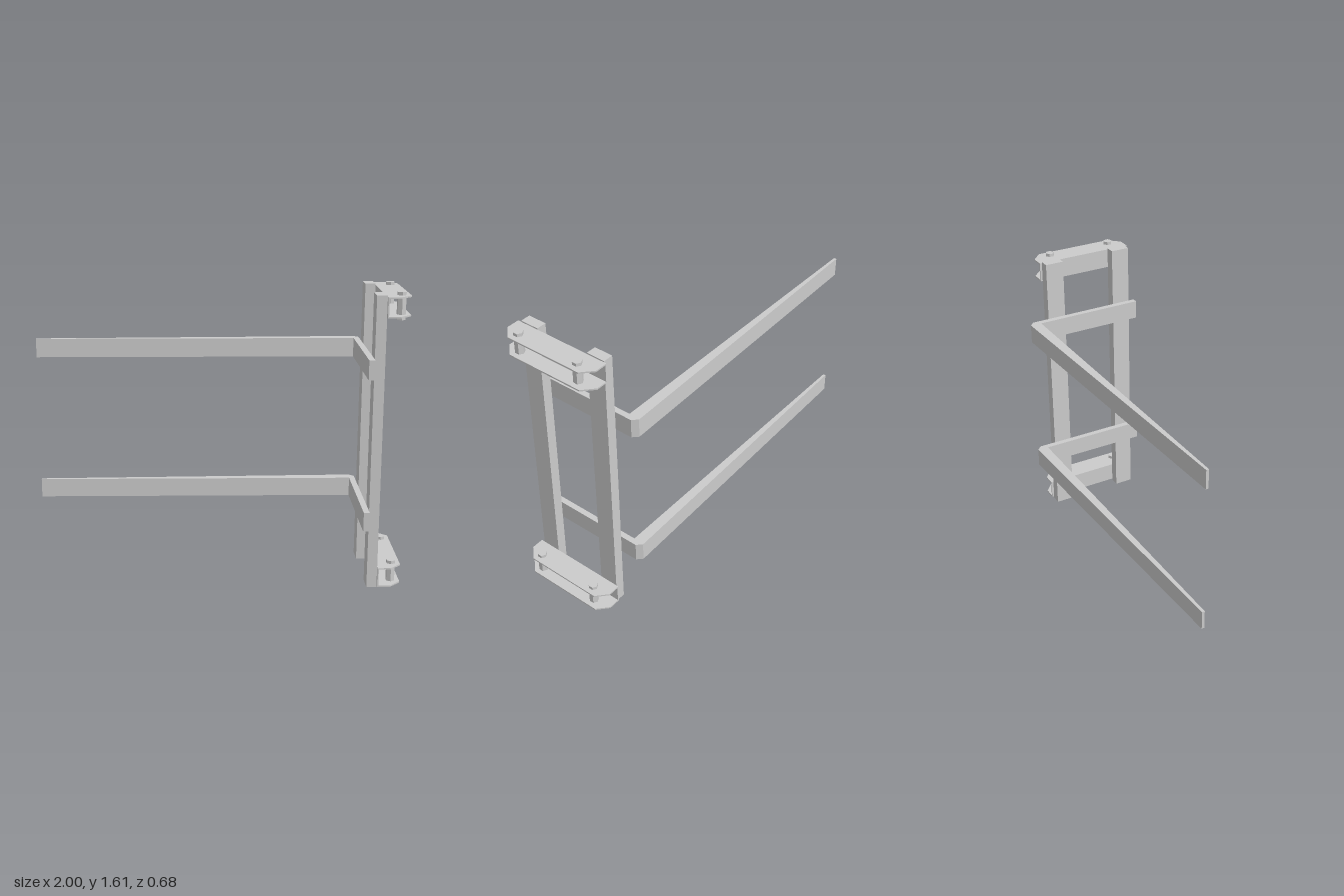
import * as THREE from 'three';

const material = new THREE.MeshStandardMaterial({ color: 0xcccccc, flatShading: true });

function addMesh(parent, name, geometry, x = 0, y = 0, z = 0) {
  const mesh = new THREE.Mesh(geometry, material);
  mesh.name = name;
  mesh.position.set(x, y, z);
  parent.add(mesh);
  return mesh;
}

// Plate with an outline in (x, z), extruded upward from y = 0
function plate(points, height) {
  const shape = new THREE.Shape(points.map(([x, z]) => new THREE.Vector2(x, -z)));
  const geometry = new THREE.ExtrudeGeometry(shape, { depth: height, bevelEnabled: false });
  return geometry.rotateX(-Math.PI / 2);
}

export function createModel() {
  const model = new THREE.Group();
  model.name = 'forkFrame';

  // Upright posts
  for (const [name, z] of [['frontPost', 0.252], ['backPost', -0.165]]) {
    addMesh(model, name, new THREE.BoxGeometry(0.055, 1.59, 0.105), 0.843, 0.805, z);
  }

  // L-shaped arms: short leg across the posts, long leg tapering to the tip
  const armOutline = [
    [-1, -0.28], [0.783, -0.28], [0.783, 0.337], [0.815, 0.337],
    [0.815, -0.315], [0.788, -0.342], [0.775, -0.342], [-1, -0.295],
  ];
  for (const [name, y] of [['lowerArm', 0.342], ['upperArm', 1.166]]) {
    addMesh(model, name, plate(armOutline, 0.105), 0, y, 0);
  }

  // Channel brackets with chamfered flanges and two hexagonal pins
  const flangeOutline = [
    [0.87, -0.23], [0.87, 0.325], [0.94, 0.325],
    [1, 0.265], [1, -0.175], [0.94, -0.23],
  ];
  for (const [name, y] of [['lowerBracket', 0], ['upperBracket', 1.465]]) {
    const bracket = new THREE.Group();
    bracket.name = name;
    bracket.position.y = y;
    model.add(bracket);
    addMesh(bracket, 'web', new THREE.BoxGeometry(0.007, 0.108, 0.555), 0.8735, 0.074, 0.0475);
    addMesh(bracket, 'bottomFlange', plate(flangeOutline, 0.008), 0, 0.02, 0);
    addMesh(bracket, 'topFlange', plate(flangeOutline, 0.008), 0, 0.12, 0);
    for (const z of [-0.128, 0.243]) {
      addMesh(bracket, 'pin', new THREE.CylinderGeometry(0.025, 0.025, 0.145, 6), 0.952, 0.0725, z);
    }
  }
  return model;
}
